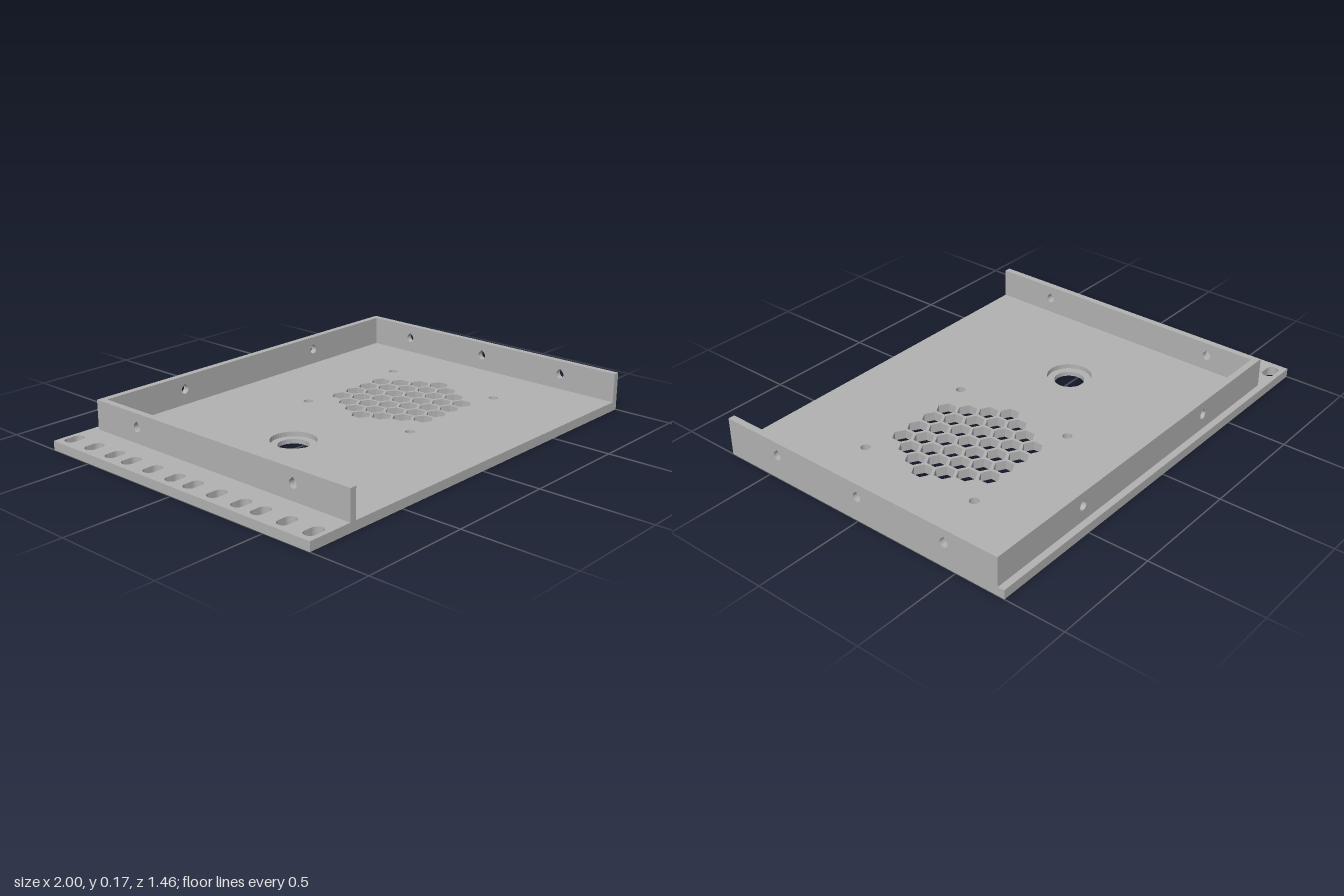
import * as THREE from 'three';

const HALF_Z = 0.73, PLATE = 0.041, TOP = 0.174, WALL = 0.03;
const BACK = -0.7, LEFT = -0.79;

// Outline helpers
function rect(x0, y0, x1, y1) {
  return new THREE.Shape([[x0, y0], [x1, y0], [x1, y1], [x0, y1]].map(p => new THREE.Vector2(...p)));
}
function circle(x, y, r) {
  return new THREE.Path().absarc(x, y, r, 0, Math.PI * 2, true);
}
function hexagon(x, y, r) {
  const pts = [];
  for (let i = 0; i < 6; i++) {
    const a = Math.PI / 6 - i * Math.PI / 3;
    pts.push(new THREE.Vector2(x + r * Math.cos(a), y + r * Math.sin(a)));
  }
  return new THREE.Path(pts);
}
function slot(x, y, halfLength, r) {
  const d = halfLength - r;
  const path = new THREE.Path();
  path.absarc(x + d, y, r, Math.PI / 2, -Math.PI / 2, true);
  path.absarc(x - d, y, r, -Math.PI / 2, -Math.PI * 1.5, true);
  path.closePath();
  return path;
}
// Round hole with a pointed roof
function teardrop(x, y, r) {
  const path = new THREE.Path();
  path.absarc(x, y, r, Math.PI / 4, Math.PI * 0.75, true);
  path.lineTo(x, y + r * Math.SQRT2);
  path.closePath();
  return path;
}
function extrude(shape, depth) {
  return new THREE.ExtrudeGeometry(shape, { depth, bevelEnabled: false, curveSegments: 20 });
}

export function createModel() {
  const group = new THREE.Group();
  const grey = new THREE.MeshStandardMaterial({ color: 0xb2b2b2 });
  const add = (name, geometry, x = 0, y = 0, z = 0) => {
    const mesh = new THREE.Mesh(geometry, grey);
    mesh.name = name;
    mesh.position.set(x, y, z);
    group.add(mesh);
  };

  // Base plate with all its openings
  const plate = rect(-1, -HALF_Z, 1, HALF_Z);
  plate.holes.push(circle(-0.33, 0, 0.1));

  // Honeycomb vent and its four screw holes
  const ventX = 0.366, pitch = 0.091;
  for (let row = -3; row <= 3; row++) {
    const count = 7 - Math.abs(row);
    for (let i = 0; i < count; i++) {
      plate.holes.push(hexagon(ventX + (i - (count - 1) / 2) * pitch, row * 0.079, 0.045));
    }
  }
  for (const sx of [-1, 1]) for (const sz of [-1, 1]) {
    plate.holes.push(circle(ventX + sx * 0.296, sz * 0.296, 0.021));
  }

  // Mounting slots in groups of three
  for (let g = 0; g < 4; g++) for (let i = -1; i <= 1; i++) {
    plate.holes.push(slot(-0.929, (g - 1.5) * 0.367 + i * 0.1315, 0.045, 0.027));
  }
  add('basePlate', extrude(plate, PLATE).rotateX(-Math.PI / 2));

  // Stepped lip inside the cable hole
  const lip = new THREE.Shape().absarc(0, 0, 0.1, 0, Math.PI * 2, false);
  lip.holes.push(circle(0, 0, 0.067));
  add('cableHoleLip', extrude(lip, 0.02).rotateX(-Math.PI / 2), -0.33);

  // Side walls, pierced along z
  const sideWall = (name, outerX, holes) => {
    const shape = rect(BACK, PLATE, HALF_Z, TOP);
    for (const z of holes) shape.holes.push(teardrop(z, 0.111, 0.0195));
    add(name, extrude(shape, WALL).rotateY(-Math.PI / 2), outerX);
  };
  sideWall('leftWall', 1, [-0.445, 0, 0.445]);
  sideWall('rightWall', LEFT + WALL, [-0.445, 0.445]);

  // Back wall between the side walls
  const back = rect(LEFT + WALL, PLATE, 1 - WALL, TOP);
  for (const x of [-0.33, 0.5]) back.holes.push(teardrop(x, 0.111, 0.0195));
  add('backWall', extrude(back, WALL), 0, 0, BACK);

  return group;
}
